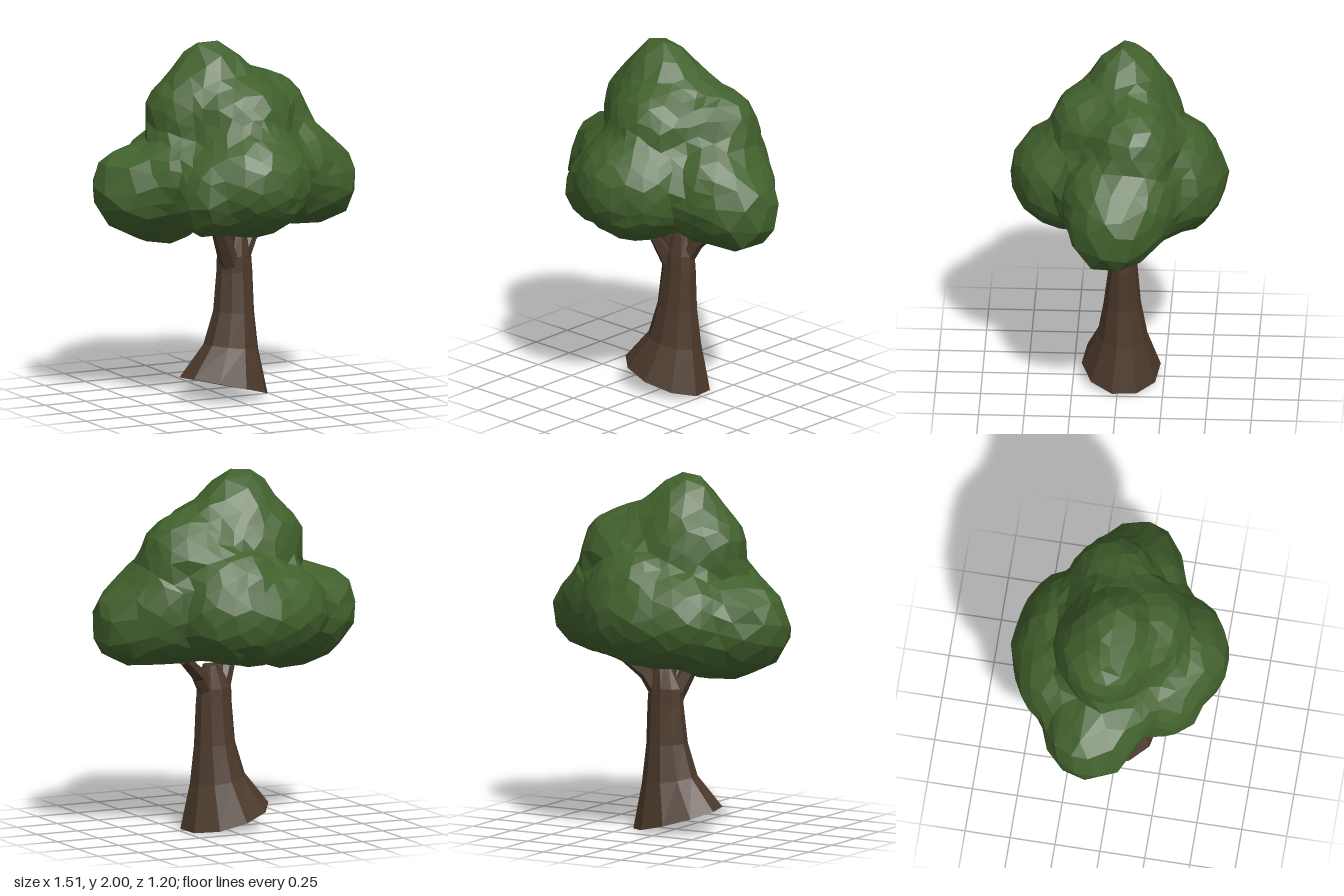
import * as THREE from 'three';
import { mergeVertices } from 'three/addons/utils/BufferGeometryUtils.js';

const leafGreen = new THREE.MeshStandardMaterial({ color: 0x42612d, flatShading: true });
leafGreen.name = 'leaf green';
const barkBrown = new THREE.MeshStandardMaterial({ color: 0x4c392b, flatShading: true, side: THREE.DoubleSide });
barkBrown.name = 'bark brown';

// Leaf clumps: centre x, y, z and radii x, y, z
const CLUMPS = [
  [-0.09, 1.77, -0.04, 0.21, 0.235, 0.20], // crown tip
  [-0.12, 1.58, -0.06, 0.34, 0.30, 0.28],  // crown
  [0.06, 1.68, -0.06, 0.20, 0.20, 0.20],   // crown slope
  [0.24, 1.55, -0.09, 0.27, 0.25, 0.25],   // left shoulder
  [0.02, 1.55, 0.13, 0.29, 0.27, 0.25],    // upper front
  [0.00, 1.26, 0.23, 0.36, 0.32, 0.37],    // front
  [-0.28, 1.18, 0.25, 0.16, 0.21, 0.23],   // front corner
  [-0.48, 1.18, -0.09, 0.28, 0.26, 0.26],  // right side
  [-0.58, 1.26, -0.12, 0.16, 0.15, 0.17],  // right tip
  [-0.33, 1.11, -0.12, 0.25, 0.235, 0.25], // right underside
  [-0.33, 1.28, 0.02, 0.24, 0.24, 0.25],   // right hollow
  [0.54, 1.18, 0.02, 0.22, 0.24, 0.23],    // left side
  [0.60, 1.13, -0.01, 0.14, 0.13, 0.14],   // left tip
  [0.37, 1.25, 0.03, 0.27, 0.31, 0.27],    // left hollow
  [0.31, 1.26, -0.13, 0.30, 0.30, 0.22],   // left back
  [-0.05, 1.23, -0.27, 0.38, 0.29, 0.33],  // back
  [-0.25, 1.24, -0.28, 0.24, 0.25, 0.25],  // back right
  [0.14, 1.25, -0.30, 0.24, 0.26, 0.25],   // back left
  [0.05, 1.39, -0.30, 0.28, 0.22, 0.23],   // upper back
];

function seeded(seed) {
  return () => {
    seed = (seed * 16807) % 2147483647;
    return seed / 2147483647 - 0.5;
  };
}

// Softly blended distance to the clumps
function clumpField(p) {
  const k = 0.06;
  let d = 10;
  for (const [x, y, z, rx, ry, rz] of CLUMPS) {
    const e = (Math.hypot((p.x - x) / rx, (p.y - y) / ry, (p.z - z) / rz) - 1) * Math.min(rx, ry, rz);
    const h = Math.max(k - Math.abs(d - e), 0) / k;
    d = Math.min(d, e) - h * h * k * 0.25;
  }
  return d;
}

// A faceted ball whose points are moved out to the clump surface
function foliageGeometry() {
  const ball = new THREE.IcosahedronGeometry(1, 6);
  ball.deleteAttribute('uv');
  ball.deleteAttribute('normal');
  const geo = mergeVertices(ball, 1e-4);
  const pos = geo.attributes.position;
  const centre = new THREE.Vector3(0, 1.33, 0);
  const dir = new THREE.Vector3();
  const p = new THREE.Vector3();
  const rnd = seeded(71);
  for (let i = 0; i < pos.count; i++) {
    dir.fromBufferAttribute(pos, i);
    dir.x += rnd() * 0.08;
    dir.y += rnd() * 0.08;
    dir.z += rnd() * 0.08;
    dir.normalize();
    let r = 1.1;
    do {
      r -= 0.004;
      p.copy(centre).addScaledVector(dir, r);
    } while (r > 0.1 && clumpField(p) > 0);
    p.addScaledVector(dir, rnd() * 0.016);
    pos.setXYZ(i, p.x, p.y, p.z);
  }
  geo.computeVertexNormals();
  return geo;
}

// Trunk rings: centre x, y, z, radii x, z, slope along x, slope along z
const RINGS = [
  [-0.02, 0.066, -0.012, 0.255, 0.218, -0.26, 0.1],
  [0.028, 0.28, -0.02, 0.158, 0.138, -0.15, 0.05],
  [0.045, 0.48, -0.02, 0.118, 0.103, -0.05, 0],
  [0.052, 0.70, -0.025, 0.105, 0.08, 0, 0],
  [0.050, 0.79, -0.025, 0.1, 0.075, 0, 0],
  [0.070, 0.92, -0.025, 0.046, 0.048, 0, 0],
  [0.070, 0.92, -0.025, 0.001, 0.001, 0, 0],
];

function trunkGeometry(sides = 10) {
  const pts = [];
  const index = [];
  RINGS.forEach(([cx, cy, cz, rx, rz, sx, sz], j) => {
    for (let i = 0; i < sides; i++) {
      const a = ((i + 0.3) / sides) * Math.PI * 2;
      const x = Math.cos(a) * rx;
      const z = Math.sin(a) * rz;
      pts.push(cx + x, Math.max(0, cy + x * sx + z * sz), cz + z);
      if (j === 0) continue;
      const n = (i + 1) % sides;
      const lo = (j - 1) * sides;
      const hi = j * sides;
      index.push(lo + i, hi + i, lo + n, lo + n, hi + i, hi + n);
    }
  });
  const geo = new THREE.BufferGeometry();
  geo.setAttribute('position', new THREE.Float32BufferAttribute(pts, 3));
  geo.setIndex(index);
  geo.computeVertexNormals();
  return geo;
}

// Tapered limb between two points
function branch(name, from, to, r0, r1) {
  const a = new THREE.Vector3(...from);
  const b = new THREE.Vector3(...to);
  const along = b.clone().sub(a);
  const mesh = new THREE.Mesh(new THREE.CylinderGeometry(r1, r0, along.length(), 6), barkBrown);
  mesh.name = name;
  mesh.position.copy(a).add(b).multiplyScalar(0.5);
  mesh.quaternion.setFromUnitVectors(new THREE.Vector3(0, 1, 0), along.normalize());
  return mesh;
}

export function createModel() {
  const tree = new THREE.Group();
  tree.name = 'tree';

  const trunk = new THREE.Mesh(trunkGeometry(), barkBrown);
  trunk.name = 'trunk';
  const foliage = new THREE.Mesh(foliageGeometry(), leafGreen);
  foliage.name = 'foliage';

  tree.add(
    trunk,
    foliage,
    branch('rightBranch', [0.01, 0.75, 0.0], [-0.10, 0.99, 0.07], 0.058, 0.042),
    branch('rightFork', [-0.01, 0.82, 0.01], [0.0, 0.98, 0.05], 0.035, 0.025),
    branch('leftBranch', [0.09, 0.76, -0.03], [0.165, 0.89, -0.06], 0.05, 0.044),
    branch('leftBranchEnd', [0.15, 0.865, -0.055], [0.28, 0.98, -0.12], 0.044, 0.034),
  );
  return tree;
}
